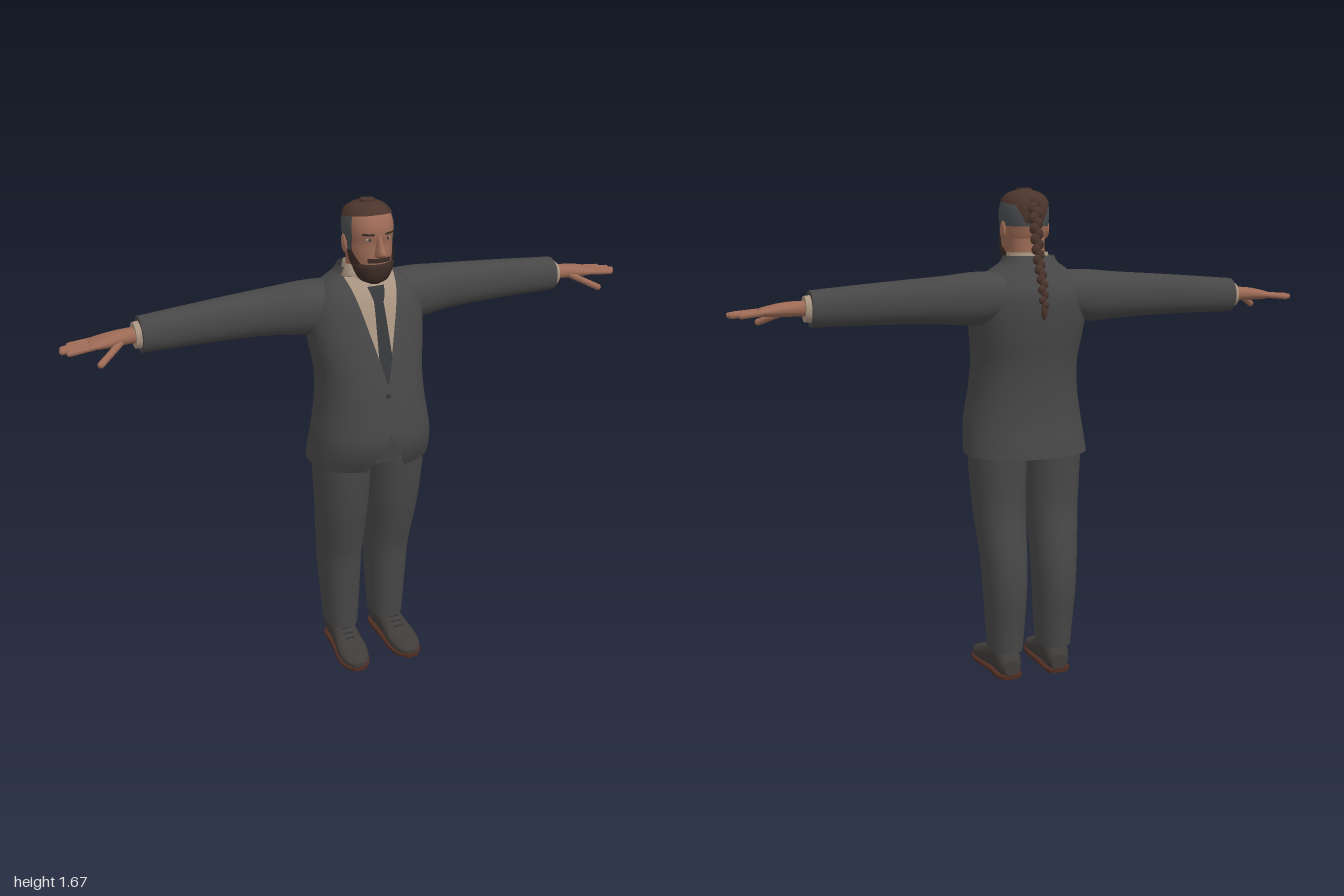
import * as THREE from 'three';

const mat = (name, color, side = THREE.DoubleSide) => {
  const m = new THREE.MeshStandardMaterial({ color, side });
  m.name = name;
  return m;
};

// Smooth interpolation of table rows [t, centreX, halfWidth, frontZ, backZ]
function section(tab, t) {
  const n = tab.length - 1;
  if (t <= tab[0][0]) return tab[0].slice(1);
  if (t >= tab[n][0]) return tab[n].slice(1);
  let i = 0;
  while (t > tab[i + 1][0]) i++;
  const h = tab[i + 1][0] - tab[i][0], u = (t - tab[i][0]) / h;
  const slope = (k, c) => {
    const a = tab[Math.max(0, k - 1)], b = tab[Math.min(n, k + 1)];
    return (b[c] - a[c]) / (b[0] - a[0]);
  };
  return [1, 2, 3, 4].map((c) =>
    tab[i][c] * (1 + 2 * u) * (1 - u) ** 2 + tab[i + 1][c] * u * u * (3 - 2 * u) +
    h * (slope(i, c) * u * (1 - u) ** 2 + slope(i + 1, c) * u * u * (u - 1)));
}

// Surface through the rows; angle 0 faces +z. A span makes an open patch, otherwise a capped tube.
function loft(tab, { t0 = tab[0][0], t1 = tab.at(-1)[0], span, start, off = 0, p = 2.2, n = 40, m = 24, caps = true } = {}) {
  const pos = [], idx = [], cols = span ? n + 1 : n;
  const pw = (v) => Math.sign(v) * Math.abs(v) ** (2 / p);
  for (let j = 0; j <= m; j++) {
    for (let i = 0; i < cols; i++) {
      const [a0, a1] = span ? span(t0 + (t1 - t0) * j / m) : [0, Math.PI * 2];
      const a = a0 + (a1 - a0) * i / n;
      const s = start ? start(a) : t0, t = s + (t1 - s) * j / m;
      const [cx, rx, zf, zb] = section(tab, t);
      pos.push(cx + (rx + off) * pw(Math.sin(a)), t, (zf + zb) / 2 + ((zf - zb) / 2 + off) * pw(Math.cos(a)));
    }
  }
  for (let j = 0; j < m; j++) for (let i = 0; i < n; i++) {
    const k = (i + 1) % cols, a = j * cols + i, b = j * cols + k;
    idx.push(a, b, b + cols, a, b + cols, a + cols);
  }
  if (!span && caps) for (const j of [0, m]) {
    const base = pos.length / 3, ring = pos.slice(j * cols * 3, (j + 1) * cols * 3), c = [0, 0, 0];
    ring.forEach((v, i) => { c[i % 3] += v / cols; });
    pos.push(...ring, ...c);
    for (let i = 0; i < n; i++) {
      const e = [base + i, base + (i + 1) % n];
      idx.push(...(j ? e : e.reverse()), base + n);
    }
  }
  const g = new THREE.BufferGeometry();
  g.setAttribute('position', new THREE.Float32BufferAttribute(pos, 3));
  g.setIndex(idx);
  g.computeVertexNormals();
  return g;
}

export function createModel() {
  const root = new THREE.Group();
  const suit = mat('suit grey', 0x474747), skin = mat('skin', 0x9c6a55), shirt = mat('shirt beige', 0xa89480);
  const hair = mat('hair brown', 0x4a342c), beard = mat('beard brown', 0x3c2b25), shaved = mat('shaved hair grey', 0x4a4c4f);
  const leather = mat('shoe leather', 0x403c3a), sole = mat('sole brown', 0x4e2d22), tie = mat('tie dark', 0x35373a);
  const eyeWhite = mat('eye white', 0xa89f98);
  const add = (parent, name, geo, material) => {
    const mesh = new THREE.Mesh(geo, material);
    mesh.name = name;
    parent.add(mesh);
    return mesh;
  };
  const ball = (parent, name, material, [x, y, z], [sx, sy, sz]) => {
    const b = add(parent, name, new THREE.SphereGeometry(1, 16, 12), material);
    b.position.set(x, y, z);
    b.scale.set(sx, sy, sz);
    return b;
  };
  const finger = (parent, name, from, to, r) => {
    const a = new THREE.Vector3(...from), d = new THREE.Vector3(...to).sub(a);
    const f = add(parent, name, new THREE.CapsuleGeometry(r, d.length() - r, 6, 12), skin);
    f.position.copy(a).addScaledVector(d, 0.5);
    f.quaternion.setFromUnitVectors(new THREE.Vector3(0, 1, 0), d.normalize());
  };

  // Jacket with a cutaway at the front of the hem
  const torso = [[0.785, 0, 0.213, 0.15, -0.178], [0.84, 0, 0.209, 0.178, -0.17], [0.9, 0, 0.202, 0.19, -0.16],
    [1, 0, 0.186, 0.177, -0.155], [1.1, 0, 0.181, 0.157, -0.16], [1.2, 0, 0.194, 0.13, -0.175],
    [1.28, 0, 0.2, 0.105, -0.183], [1.34, 0, 0.19, 0.085, -0.178], [1.39, 0, 0.155, 0.06, -0.152], [1.43, 0, 0.1, 0.026, -0.12]];
  const P = 2.3;
  const cutaway = (a) => 0.785 + (Math.cos(a) > 0 ? 0.145 * Math.max(0, 1 - Math.abs(Math.sin(a)) / 0.27) : 0);
  add(root, 'jacket', loft(torso, { p: P, n: 128, m: 48, start: cutaway, caps: false }), suit);
  add(root, 'jacketCollar', loft([[1.39, 0, 0.15, 0.06, -0.15], [1.43, 0, 0.095, 0.03, -0.125], [1.455, 0, 0.08, 0.02, -0.112]],
    { span: () => [1.15, Math.PI * 2 - 1.15], off: 0.005 }), suit);

  // Shirt front, tie and lapels lie on the chest surface
  const angleAt = (t, x) => Math.asin(Math.min(1, Math.abs(x) / section(torso, t)[1]) ** (P / 2)) * Math.sign(x);
  const chest = (name, t0, t1, left, right, off, material) => add(root, name,
    loft(torso, { t0, t1, p: P, off, n: 16, span: (t) => [angleAt(t, left(t)), angleAt(t, right(t))] }), material);
  const vee = (t) => 0.002 + 0.082 * (t - 1.1) / 0.33;
  const blade = (t) => Math.min(vee(t), 0.024 - 0.04 * (t - 1.15));
  const lapelEdge = (t) => vee(t) + Math.max(0.002, Math.min(0.045, (t - 1.1) * 0.28, (1.425 - t) * 1.2));
  chest('shirtFront', 1.1, 1.43, (t) => -vee(t), vee, 0.004, shirt);
  chest('tieBlade', 1.1, 1.37, (t) => -blade(t), blade, 0.008, tie);
  const knot = (t) => 0.016 + (t - 1.36) * 0.25;
  chest('tieKnot', 1.36, 1.405, (t) => -knot(t), knot, 0.013, tie);
  chest('leftLapel', 1.1, 1.42, vee, lapelEdge, 0.009, suit);
  chest('rightLapel', 1.1, 1.42, (t) => -lapelEdge(t), (t) => -vee(t), 0.009, suit);
  ball(root, 'jacketButton', tie, [0, 1.06, 0.166], [0.009, 0.009, 0.004]);
  add(root, 'shirtCollar', loft([[1.39, 0, 0.085, 0.04, -0.11], [1.43, 0, 0.077, 0.042, -0.103], [1.465, 0, 0.068, 0.02, -0.096]],
    { start: (a) => 1.39, caps: false }), shirt);
  add(root, 'trouserSeat', loft([[0.79, 0, 0.185, 0.112, -0.125], [0.86, 0, 0.186, 0.125, -0.14], [0.96, 0, 0.175, 0.14, -0.14]]), suit);

  // Head, neck and face
  const head = [[1.43, 0, 0.03, 0.06, 0], [1.45, 0, 0.052, 0.076, -0.03], [1.48, 0, 0.065, 0.086, -0.06],
    [1.51, 0, 0.071, 0.089, -0.08], [1.55, 0, 0.074, 0.087, -0.092], [1.58, 0, 0.077, 0.091, -0.097],
    [1.61, 0, 0.076, 0.086, -0.095], [1.64, 0, 0.066, 0.068, -0.082], [1.66, 0, 0.044, 0.04, -0.053], [1.668, 0, 0.018, 0.012, -0.025]];
  const onHead = (name, t0, t1, span, off, material) => add(root, name, loft(head, { t0, t1, span, off, n: 24, m: 12 }), material);
  add(root, 'head', loft(head, { m: 40 }), skin);
  add(root, 'neck', loft([[1.38, 0, 0.064, 0.02, -0.1], [1.45, 0, 0.06, 0.022, -0.088], [1.51, 0, 0.06, 0.03, -0.085]]), skin);
  add(root, 'nose', loft([[1.507, 0, 0.01, 0.1, 0.06], [1.514, 0, 0.017, 0.119, 0.06], [1.526, 0, 0.015, 0.128, 0.06],
    [1.55, 0, 0.01, 0.11, 0.06], [1.578, 0, 0.009, 0.095, 0.06]], { n: 20 }), skin);
  add(root, 'beard', loft([[1.412, 0, 0.018, 0.065, 0.02], [1.425, 0, 0.044, 0.083, 0], [1.45, 0, 0.06, 0.093, -0.015],
    [1.476, 0, 0.068, 0.094, -0.015], [1.484, 0, 0.063, 0.09, 0]]), beard);
  onHead('moustache', 1.491, 1.506, () => [-0.5, 0.5], 0.007, beard);
  onHead('hairCap', 1.63, 1.674, () => [0, Math.PI * 2], 0.006, hair).geometry =
    loft(head, { t1: 1.674, off: 0.006, start: (a) => 1.628 + 0.012 * Math.cos(a) });
  const wedge = (t) => 0.3 + (t - 1.56) * 7;
  onHead('backHair', 1.56, 1.645, (t) => [Math.PI - wedge(t), Math.PI + wedge(t)], 0.008, hair);
  for (const s of [1, -1]) {
    const side = s > 0 ? 'left' : 'right';
    const flip = (a, b) => () => (s > 0 ? [a, b] : [-b, -a]);
    onHead(side + 'ShavedSide', 1.55, 1.638, flip(1.15, Math.PI), 0.003, shaved);
    onHead(side + 'Sideburn', 1.52, 1.555, flip(1.2, 1.48), 0.004, shaved);
    onHead(side + 'BeardEdge', 1.476, 1.525, (t) => flip(0.75 + (t - 1.476) * 9, 1.5)(), 0.006, beard);
    onHead(side + 'Brow', 1.58, 1.587, flip(0.2, 0.68), 0.005, beard);
    ball(root, side + 'Eye', eyeWhite, [s * 0.031, 1.566, 0.077], [0.011, 0.006, 0.007]);
    ball(root, side + 'Pupil', tie, [s * 0.031, 1.566, 0.0825], [0.005, 0.005, 0.003]);
    ball(root, side + 'Ear', skin, [s * 0.077, 1.537, -0.012], [0.009, 0.031, 0.018]).rotation.x = -0.2;
  }

  // Braid of overlapping lobes down the back
  const braid = new THREE.Group();
  braid.name = 'braid';
  root.add(braid);
  const path = new THREE.CatmullRomCurve3([[1.625, -0.09], [1.57, -0.112], [1.5, -0.126], [1.43, -0.146], [1.37, -0.175], [1.3, -0.19]]
    .map(([y, z]) => new THREE.Vector3(0, y, z)));
  for (let i = 0; i <= 20; i++) {
    const c = path.getPointAt(i / 20), r = 0.019 - 0.007 * i / 20, s = i % 2 ? 1 : -1;
    ball(braid, 'braidLobe', hair, [s * r * 0.35, c.y, c.z], [r, r * 1.15, r * 0.8]).rotation.z = s * 0.5;
  }
  ball(braid, 'braidTip', hair, [0, 1.28, -0.19], [0.01, 0.028, 0.009]);

  // Limbs are built on the left and mirrored to the right
  const along = (tab) => tab.map(([x, cy, ry, zf, zb]) => [x, -cy, ry, zf, zb]);
  const sleeve = along([[0.1, 1.325, 0.08, 0.03, -0.155], [0.2, 1.318, 0.087, 0.02, -0.16], [0.3, 1.317, 0.079, -0.008, -0.155],
    [0.4, 1.316, 0.073, -0.018, -0.15], [0.55, 1.312, 0.066, -0.025, -0.143], [0.745, 1.304, 0.058, -0.03, -0.137]]);
  const palm = along([[0.73, 1.305, 0.024, -0.052, -0.112], [0.78, 1.306, 0.024, -0.05, -0.112], [0.83, 1.304, 0.022, -0.04, -0.116],
    [0.88, 1.3, 0.016, -0.034, -0.12], [0.905, 1.298, 0.01, -0.036, -0.118]]);
  const cuff = along([[0.735, 1.304, 0.044, -0.04, -0.127], [0.763, 1.304, 0.041, -0.042, -0.124]]);
  const leg = [[0.095, 0.09, 0.059, 0.025, -0.128], [0.2, 0.09, 0.066, 0.032, -0.14], [0.3, 0.091, 0.072, 0.039, -0.152],
    [0.4, 0.092, 0.077, 0.047, -0.15], [0.5, 0.095, 0.083, 0.07, -0.136], [0.6, 0.097, 0.089, 0.092, -0.122],
    [0.78, 0.1, 0.096, 0.115, -0.125], [0.86, 0.1, 0.09, 0.115, -0.13]];
  // Shoe rows run heel to toe; their depth columns are minus bottom and minus top
  const shoe = [[-0.122, 0.088, 0.028, -0.015, -0.065], [-0.1, 0.09, 0.042, -0.006, -0.1], [-0.03, 0.092, 0.045, -0.006, -0.108],
    [0.03, 0.096, 0.049, -0.006, -0.086], [0.09, 0.1, 0.054, -0.006, -0.06], [0.14, 0.102, 0.043, -0.006, -0.046], [0.168, 0.103, 0.018, -0.01, -0.032]];
  const soleRows = shoe.map(([z, cx, rx]) => [z * 1.01, cx, rx + 0.003, 0, -0.016]);

  for (const s of [1, -1]) {
    const limbs = new THREE.Group();
    limbs.name = s > 0 ? 'leftLimbs' : 'rightLimbs';
    limbs.scale.x = s;
    root.add(limbs);
    add(limbs, 'sleeve', loft(sleeve).rotateZ(-Math.PI / 2), suit);
    add(limbs, 'shirtCuff', loft(cuff, { m: 2 }).rotateZ(-Math.PI / 2), shirt);
    add(limbs, 'palm', loft(palm).rotateZ(-Math.PI / 2), skin);
    [0.978, 0.995, 0.99, 0.965].forEach((tip, i) =>
      finger(limbs, 'finger', [0.88, 1.3, -0.046 - i * 0.021], [tip, 1.291, -0.04 - i * 0.024], 0.0095));
    finger(limbs, 'thumb', [0.81, 1.298, -0.055], [0.895, 1.258, 0.012], 0.011);
    add(limbs, 'trouserLeg', loft(leg, { m: 36 }), suit);
    add(limbs, 'shoe', loft(shoe, { p: 2.4 }).rotateX(Math.PI / 2), leather);
    add(limbs, 'shoeSole', loft(soleRows, { p: 5 }).rotateX(Math.PI / 2), sole);
    for (let i = 0; i < 3; i++) {
      const lace = add(limbs, 'shoeLace', new THREE.BoxGeometry(0.035, 0.005, 0.006), tie);
      lace.position.set(0.097, 0.092 - i * 0.009, 0.022 + i * 0.02);
      lace.rotation.x = 0.4;
    }
  }
  return root;
}
